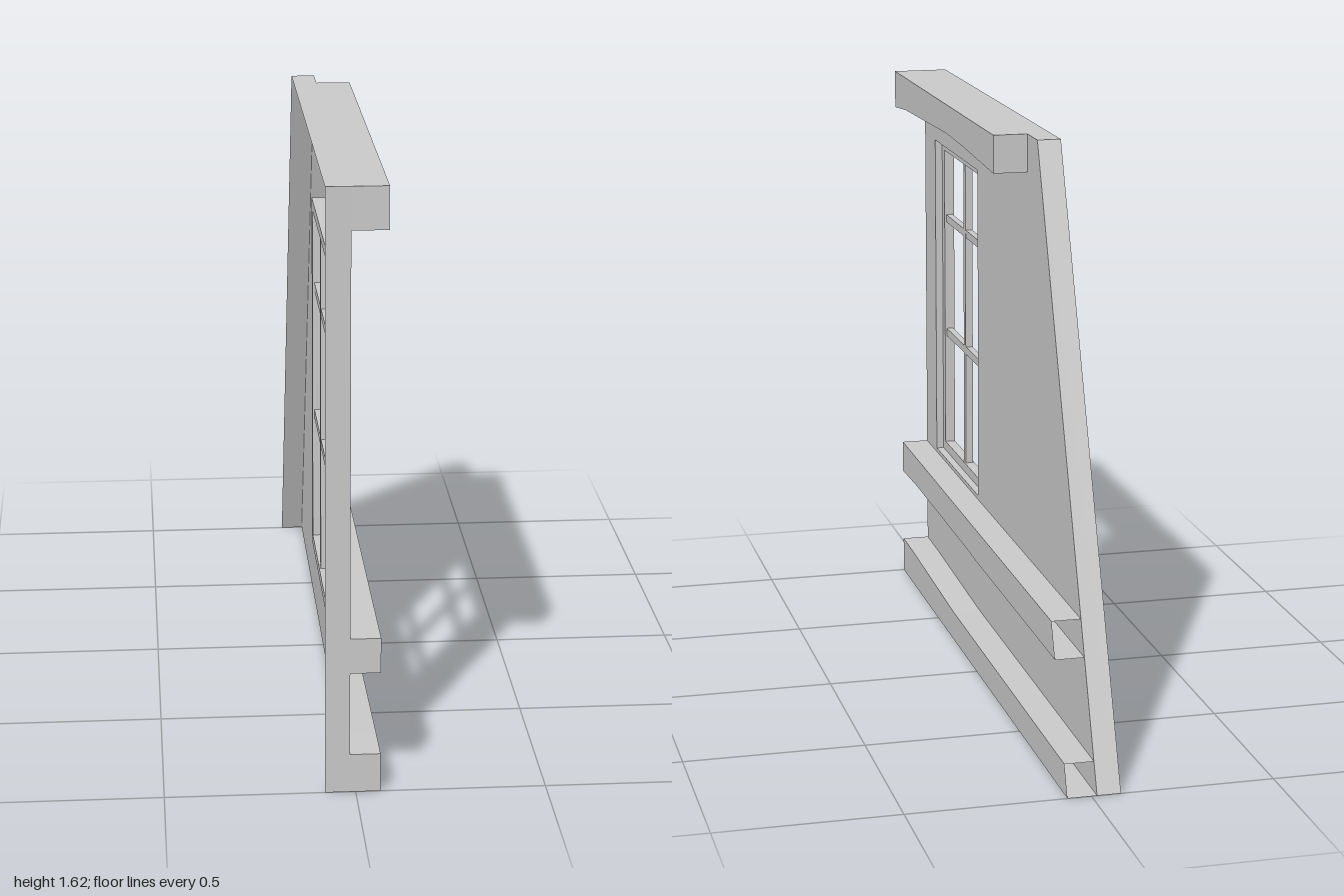
import * as THREE from 'three';

const material = new THREE.MeshStandardMaterial({ color: 0xcccccc, flatShading: true, side: THREE.DoubleSide });

// Profiles are drawn as [-z, y] and run counter-clockwise when seen from +x
const BACK = -0.08, FACE = -0.015;

function addMesh(parent, name, geometry) {
  const mesh = new THREE.Mesh(geometry, material);
  mesh.name = name;
  parent.add(mesh);
  return mesh;
}

const toShape = (points) => new THREE.Shape(points.map(([u, y]) => new THREE.Vector2(u, y)));

const rectangle = (u0, u1, y0, y1) => [[u0, y0], [u1, y0], [u1, y1], [u0, y1]];

// Flat sheet in the plane at x
function sheet(shape, x) {
  return new THREE.ShapeGeometry(shape).rotateY(Math.PI / 2).translate(x, 0, 0);
}

// Band that follows a path, from x0 to x1
function band(path, x0, x1) {
  const positions = [];
  for (let i = 0; i < path.length - 1; i++) {
    const [u, y] = path[i], [v, w] = path[i + 1];
    const a = [x0, y, -u], b = [x0, w, -v], c = [x1, w, -v], d = [x1, y, -u];
    positions.push(...a, ...b, ...c, ...a, ...c, ...d);
  }
  const geometry = new THREE.BufferGeometry();
  geometry.setAttribute('position', new THREE.Float32BufferAttribute(positions, 3));
  geometry.computeVertexNormals();
  return geometry;
}

// Hollow rail: front sheet plus edges, closed all round or open at the sloping end
function addRail(parent, name, points, x, closed) {
  const rail = new THREE.Group();
  rail.name = name;
  addMesh(rail, name + 'Front', sheet(toShape(points), x));
  addMesh(rail, name + 'Edges', band(closed ? [...points, points[0]] : points, FACE, x));
  parent.add(rail);
}

function addWindow(parent, outer) {
  const group = new THREE.Group();
  group.name = 'window';

  // Reveal between the wall face and the recessed frame
  addMesh(group, 'windowReveal', band([...outer, outer[0]].reverse(), -0.037, FACE));

  // Frame around the opening
  const frame = toShape(outer);
  frame.holes.push(toShape(rectangle(-0.83, -0.335, 0.47, 1.4)));
  const geometry = new THREE.ExtrudeGeometry(frame, { depth: 0.03, bevelEnabled: false });
  addMesh(group, 'windowFrame', geometry.rotateY(Math.PI / 2).translate(-0.067, 0, 0));

  // Glazing bars
  addMesh(group, 'verticalBar', new THREE.BoxGeometry(0.022, 0.93, 0.025)).position.set(-0.052, 0.935, 0.583);
  for (const y of [0.825, 1.187]) {
    addMesh(group, 'horizontalBar', new THREE.BoxGeometry(0.02, 0.023, 0.495)).position.set(-0.052, y, 0.5825);
  }
  parent.add(group);
}

export function createModel() {
  const model = new THREE.Group();
  model.name = 'gableWall';

  // Sloping wall panel, open at the back and underneath
  const outline = [[1, 0], [0.37, 1.625], [-1, 1.625], [-1, 0]];
  const windowOuter = rectangle(-0.86, -0.307, 0.442, 1.428);
  const wall = toShape(outline);
  wall.holes.push(toShape(windowOuter));
  addMesh(model, 'wallFace', sheet(wall, FACE));
  addMesh(model, 'wallEdges', band(outline, BACK, FACE));

  addWindow(model, windowOuter);

  // Top rail with a worn lower edge
  addRail(model, 'topRail', [
    [0.265, 1.625], [-1, 1.625], [-1, 1.513], [-0.85, 1.526], [-0.45, 1.537],
    [-0.3, 1.541], [-0.1, 1.536], [0.265, 1.52],
  ], 0.08, true);

  // Middle rail, cut along the slope
  addRail(model, 'middleRail', [
    [0.833, 0.43], [-1, 0.43], [-1, 0.334], [-0.8, 0.34], [-0.1, 0.339], [0, 0.336], [0.87, 0.336],
  ], 0.065, false);

  // Bottom rail with a worn upper edge
  addRail(model, 'bottomRail', [
    [0.968, 0.083], [-0.3, 0.086], [-0.85, 0.104], [-1, 0.106], [-1, 0], [1, 0],
  ], 0.065, false);

  return model;
}
